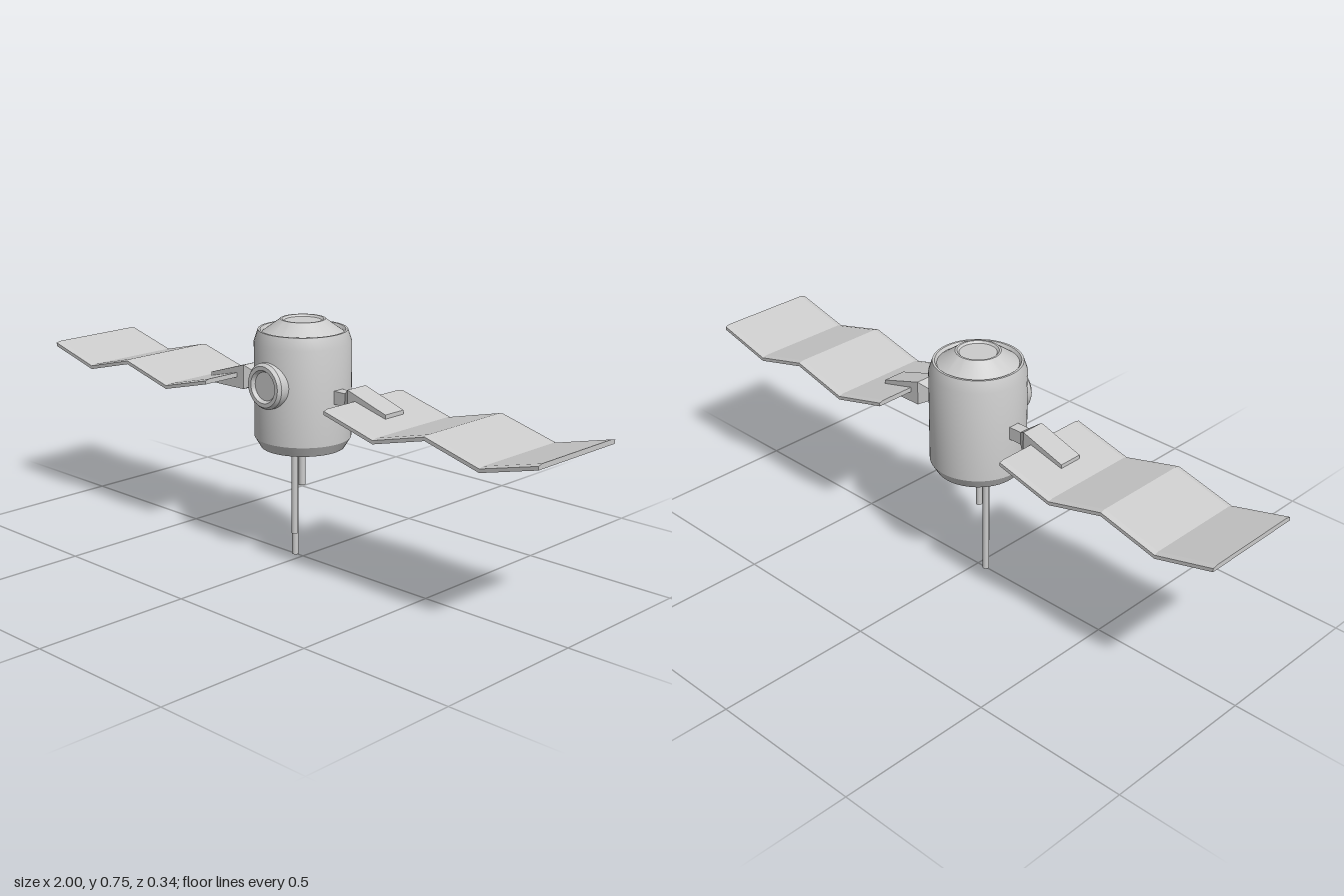
import * as THREE from 'three';
import { toCreasedNormals } from 'three/addons/utils/BufferGeometryUtils.js';

const material = new THREE.MeshStandardMaterial({ color: 0xcccccc });

function addMesh(parent, name, geometry) {
  const mesh = new THREE.Mesh(geometry, material);
  mesh.name = name;
  parent.add(mesh);
  return mesh;
}

// Turned solid; profile is [radius, height] running from bottom to top
function turned(profile, segments) {
  const points = profile.map(([r, y]) => new THREE.Vector2(r, y));
  return toCreasedNormals(new THREE.LatheGeometry(points, segments), 0.35);
}

// Closed solid through cross-sections along x; each section is { x, ring: [[y, z], ...] }
function loft(sections) {
  const n = sections[0].ring.length;
  const last = (sections.length - 1) * n;
  const positions = sections.flatMap(({ x, ring }) => ring.flatMap(([y, z]) => [x, y, z]));
  const index = [];
  for (let i = 0; i < last; i += n) {
    for (let j = 0; j < n; j++) {
      const a = i + j, b = i + ((j + 1) % n);
      index.push(a, b, a + n, b, b + n, a + n);
    }
  }
  for (let j = 1; j < n - 1; j++) {
    index.push(0, j + 1, j, last, last + j, last + j + 1);
  }
  const geometry = new THREE.BufferGeometry();
  geometry.setAttribute('position', new THREE.Float32BufferAttribute(positions, 3));
  geometry.setIndex(index);
  const flat = geometry.toNonIndexed();
  flat.computeVertexNormals();
  return flat;
}

const boxSection = (x, y0, y1, z) => ({ x, ring: [[y0, -z], [y1, -z], [y1, z], [y0, z]] });

// Panel section with bevelled long edges
const panelSection = (x, y) => ({
  x,
  ring: [[y - 0.015, -0.169], [y - 0.004, -0.169], [y, -0.153], [y, 0.153], [y - 0.004, 0.169], [y - 0.015, 0.169]],
});

export function createModel() {
  const model = new THREE.Group();
  model.name = 'satellite';

  // Body with a recessed underside and a raised, dished cap
  addMesh(model, 'body', turned([
    [0, 0.385], [0.07, 0.385], [0.088, 0.36], [0.128, 0.36], [0.147, 0.392],
    [0.147, 0.685], [0.135, 0.721], [0.128, 0.721], [0.122, 0.712],
    [0.075, 0.746], [0.068, 0.752], [0.062, 0.752], [0.056, 0.746], [0, 0.746],
  ], 48));

  // Round window on the front
  const porthole = addMesh(model, 'porthole', turned([
    [0, 0.09], [0.07, 0.09], [0.07, 0.158], [0.062, 0.168],
    [0.05, 0.168], [0.043, 0.157], [0, 0.157],
  ], 40).rotateX(Math.PI / 2));
  porthole.position.y = 0.571;

  // Antenna rods: x, z, lower end
  for (const [x, z, bottom] of [[-0.033, 0, 0], [-0.01, 0.026, 0.08], [-0.01, -0.006, 0.23]]) {
    const height = 0.4 - bottom;
    const rod = addMesh(model, 'antennaRod', new THREE.CylinderGeometry(0.01, 0.01, height, 16));
    rod.position.set(x, bottom + height / 2, z);
  }

  // Folded panels held by wedge brackets, one on each side
  for (const side of ['left', 'right']) {
    const wing = new THREE.Group();
    wing.name = side + 'Wing';
    addMesh(wing, 'bracket', loft([
      boxSection(0.13, 0.518, 0.558, 0.018),
      boxSection(0.19, 0.518, 0.558, 0.018),
      boxSection(0.22, 0.502, 0.579, 0.039),
      boxSection(0.368, 0.5, 0.532, 0.039),
    ]));
    const folds = [0.25, 0.4375, 0.625, 0.8125, 1];
    addMesh(wing, 'solarPanel', loft(folds.map((x, i) => panelSection(x, i % 2 ? 0.502 : 0.55))));
    if (side === 'right') wing.rotation.y = Math.PI;
    model.add(wing);
  }

  return model;
}
